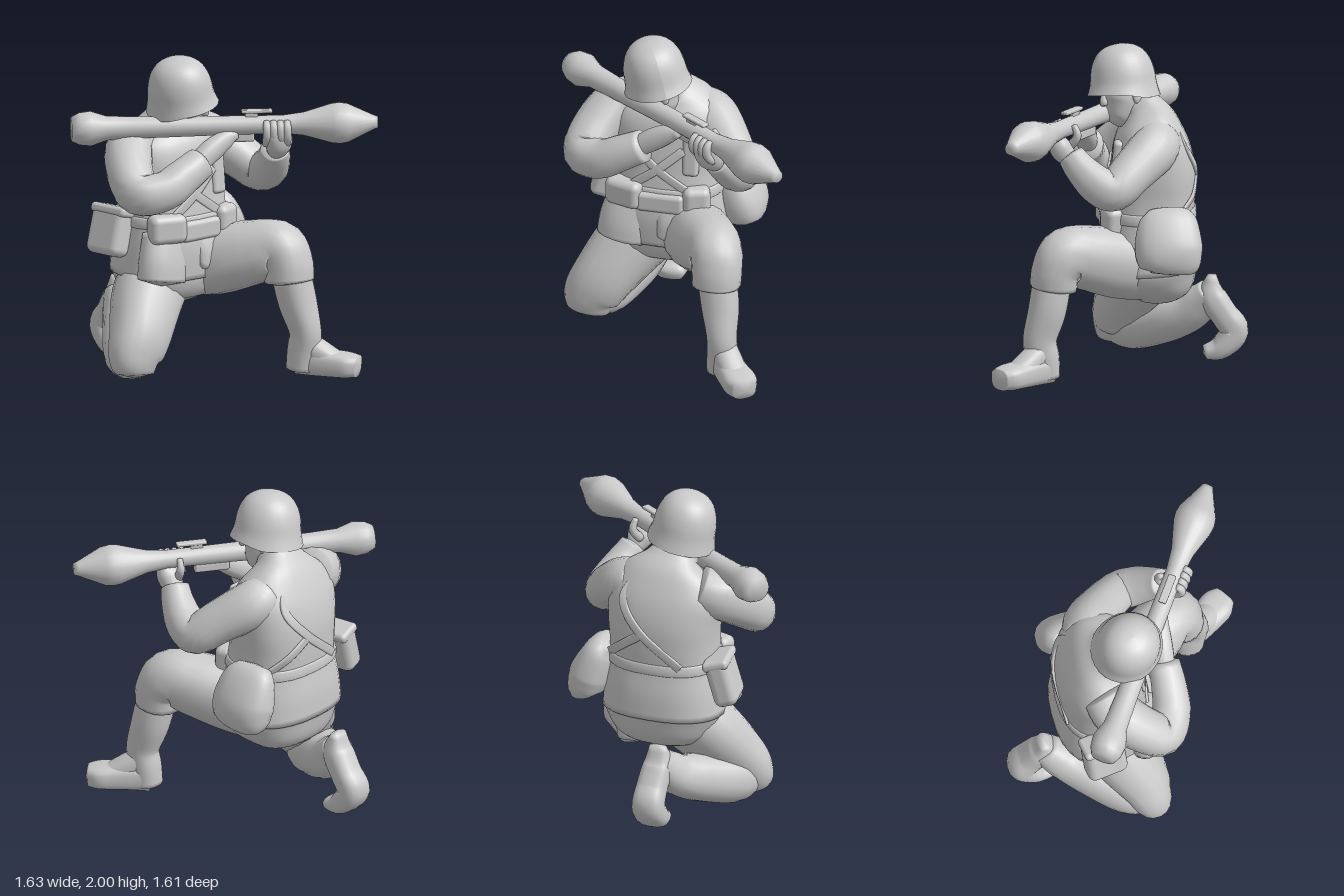
import * as THREE from 'three';
import { RoundedBoxGeometry } from 'three/addons/geometries/RoundedBoxGeometry.js';

const grey = new THREE.MeshStandardMaterial({ color: 0xcacaca, side: THREE.DoubleSide });
grey.name = 'plainGrey';
const V = (x, y, z) => new THREE.Vector3(x, y, z);
const X = V(1, 0, 0), BACK = V(0, 0, -1), FRONT = V(0, 0, 1), UP = V(0, 1, 0);

// point of a rounded-square section
const bend = (c, p) => Math.sign(c) * Math.pow(Math.abs(c), 2 / p);

// smooth closed form through rows of [x, y, z, radius, second radius]
function limb(rows, ref = X, { p = 2.2, sides = 18, steps = 5 } = {}) {
  const path = new THREE.CatmullRomCurve3(rows.map(r => V(r[0], r[1], r[2])), false, 'catmullrom', 0.5);
  const size = new THREE.CatmullRomCurve3(rows.map(r => V(r[3], r[4] ?? r[3], 0)), false, 'catmullrom', 0.5);
  const n = (rows.length - 1) * steps, pos = [], idx = [];
  for (let i = 0; i <= n; i++) {
    const c = path.getPoint(i / n), s = size.getPoint(i / n), t = path.getTangent(i / n);
    const side = ref.clone().cross(t).normalize(), nrm = t.clone().cross(side);
    for (let j = 0; j < sides; j++) {
      const a = j / sides * Math.PI * 2;
      const q = c.clone().addScaledVector(side, s.x * bend(Math.cos(a), p)).addScaledVector(nrm, s.y * bend(Math.sin(a), p));
      pos.push(q.x, q.y, q.z);
      const k = (j + 1) % sides, b = i * sides;
      if (i < n) idx.push(b + j, b + k, b + sides + j, b + k, b + sides + k, b + sides + j);
    }
  }
  // domed ends
  for (const e of [0, 1]) {
    const s = size.getPoint(e), d = Math.min(s.x, s.y) * 0.3 * (e ? 1 : -1);
    const c = path.getPoint(e).addScaledVector(path.getTangent(e), d), id = pos.length / 3, b = e ? n * sides : 0;
    pos.push(c.x, c.y, c.z);
    for (let j = 0; j < sides; j++) {
      const k = (j + 1) % sides;
      idx.push(id, b + (e ? j : k), b + (e ? k : j));
    }
  }
  const g = new THREE.BufferGeometry();
  g.setAttribute('position', new THREE.Float32BufferAttribute(pos, 3));
  g.setIndex(idx);
  g.computeVertexNormals();
  return g;
}

// jacket sections
const JACKET = [
  [-0.1, 0.63, -0.2, 0.385, 0.3], [-0.1, 0.8, -0.19, 0.37, 0.3], [-0.1, 0.97, -0.19, 0.345, 0.275],
  [-0.1, 1.1, -0.2, 0.34, 0.268], [-0.1, 1.25, -0.205, 0.35, 0.26], [-0.11, 1.4, -0.195, 0.355, 0.23],
  [-0.12, 1.52, -0.18, 0.29, 0.18], [-0.13, 1.6, -0.15, 0.17, 0.13], [-0.14, 1.65, -0.11, 0.11, 0.11],
];
// point just outside the jacket at a height and bearing (0 = left, 90 = back, -90 = front)
function onJacket(y, deg, off = 0.008) {
  let i = 0;
  while (i < JACKET.length - 2 && JACKET[i + 1][1] < y) i++;
  const [a, b] = [JACKET[i], JACKET[i + 1]], t = (y - a[1]) / (b[1] - a[1]);
  const [x, , z, rx, rz] = a.map((v, k) => v + (b[k] - v) * t), r = deg * Math.PI / 180;
  return [x + (rx + off) * bend(Math.cos(r), 2.45), y, z - (rz + off) * bend(Math.sin(r), 2.45)];
}

export function createModel() {
  const model = new THREE.Group();
  const add = (name, geo, parent = model) => {
    const m = new THREE.Mesh(geo, grey);
    m.name = name;
    parent.add(m);
    return m;
  };
  const box = (name, w, h, d, pos, rot = [0, 0, 0], r = 0.03) => {
    const m = add(name, new RoundedBoxGeometry(w, h, d, 3, r));
    m.position.set(...pos);
    m.rotation.set(...rot);
    return m;
  };

  // body
  add('jacket', limb(JACKET, BACK, { p: 2.45, sides: 28 }));
  add('seat', limb([[-0.1, 0.43, -0.23, 0.22, 0.13], [-0.1, 0.51, -0.23, 0.32, 0.235], [-0.1, 0.63, -0.205, 0.38, 0.293], [-0.1, 0.75, -0.2, 0.35, 0.27]], BACK, { p: 2.35, sides: 28 }));
  add('belt', limb([[-0.1, 0.94, -0.19, 0.347, 0.277], [-0.1, 0.95, -0.19, 0.358, 0.287], [-0.1, 1.0, -0.19, 0.352, 0.282], [-0.1, 1.01, -0.19, 0.342, 0.272]], BACK, { p: 2.45, sides: 28, steps: 2 }));
  add('collar', limb([[-0.13, 1.54, -0.16, 0.18, 0.15], [-0.14, 1.6, -0.13, 0.14, 0.13], [-0.145, 1.645, -0.11, 0.125, 0.12]], BACK));

  // straps laid on the jacket
  const straps = [
    [BACK, [[1.55, 62], [1.4, 60], [1.22, 82], [1.0, 118]]],
    [BACK, [[1.0, 32], [1.1, 60], [1.2, 84]]],
    [FRONT, [[1.28, -115], [1.14, -92], [1.0, -65]]],
    [FRONT, [[1.28, -72], [1.14, -92], [1.0, -120]]],
  ];
  for (const [ref, pts] of straps)
    add('strap', limb(pts.map(([y, d]) => [...onJacket(y, d), 0.028, 0.01]), ref, { p: 4, sides: 12, steps: 6 }));

  // pouches, pack and canister
  box('rightPouch', 0.24, 0.18, 0.13, [-0.33, 0.95, 0.05], [0, -0.3, 0], 0.045);
  box('leftPouch', 0.17, 0.18, 0.12, [0.12, 0.95, 0.05], [0, 0.3, 0], 0.045);
  box('bellyPouch', 0.3, 0.13, 0.06, [-0.1, 0.92, 0.09], [0, 0, 0], 0.03);
  box('chestPouch', 0.1, 0.34, 0.06, [0.08, 1.28, 0.025], [-0.1, 0, 0], 0.025);
  box('hipCanister', 0.15, 0.31, 0.26, [-0.515, 0.91, -0.27], [0, 0.15, -0.28], 0.05);
  box('canisterLid', 0.165, 0.06, 0.275, [-0.48, 1.03, -0.27], [0, 0.15, -0.28], 0.025);
  add('haversack', limb([[0.23, 1.04, -0.28, 0.05, 0.12], [0.28, 0.98, -0.285, 0.1, 0.18], [0.34, 0.83, -0.285, 0.13, 0.21], [0.365, 0.73, -0.3, 0.115, 0.185], [0.365, 0.69, -0.3, 0.07, 0.13]], BACK, { p: 2.4 }));
  // jacket tails over the thighs
  add('rightTail', limb([[-0.28, 0.88, -0.02, 0.17, 0.1], [-0.33, 0.73, 0.01, 0.17, 0.11], [-0.35, 0.62, 0.02, 0.165, 0.11]], BACK));
  add('leftTail', limb([[0.0, 0.87, 0.03, 0.15, 0.07], [-0.04, 0.77, 0.08, 0.1, 0.05], [-0.09, 0.68, 0.1, 0.03, 0.03]], BACK));

  // standing leg
  add('leftTrouser', limb([[0, 0.63, -0.25, 0.2, 0.19], [0.1, 0.68, 0, 0.215, 0.2], [0.22, 0.745, 0.2, 0.2, 0.19], [0.31, 0.78, 0.34, 0.175, 0.165], [0.335, 0.7, 0.405, 0.15, 0.155], [0.335, 0.59, 0.42, 0.145, 0.15]]));
  add('leftBootShaft', limb([[0.345, 0.62, 0.43, 0.12], [0.37, 0.45, 0.46, 0.118, 0.115], [0.39, 0.28, 0.505, 0.105, 0.092], [0.39, 0.16, 0.49, 0.105, 0.095], [0.385, 0.04, 0.48, 0.1, 0.095]]));
  add('leftInstep', limb([[0.4, 0.2, 0.5, 0.08], [0.46, 0.14, 0.58, 0.085, 0.08], [0.53, 0.09, 0.67, 0.08, 0.06]], UP));
  add('leftBoot', limb([[0.38, 0.085, 0.445, 0.08, 0.08], [0.43, 0.09, 0.53, 0.09, 0.085], [0.5, 0.085, 0.63, 0.1, 0.08], [0.56, 0.08, 0.71, 0.105, 0.074], [0.6, 0.075, 0.765, 0.075, 0.065]], UP, { p: 2.9, sides: 24 }));

  // kneeling leg
  add('rightThigh', limb([[-0.2, 0.62, -0.2, 0.2, 0.22], [-0.34, 0.48, -0.13, 0.2, 0.22], [-0.475, 0.3, -0.03, 0.17, 0.195], [-0.55, 0.17, 0.01, 0.135, 0.175], [-0.56, 0.07, 0.02, 0.1, 0.13]]));
  add('rightShin', limb([[-0.55, 0.14, 0.03, 0.1, 0.13], [-0.49, 0.155, -0.1, 0.15, 0.165], [-0.36, 0.225, -0.3, 0.15, 0.15], [-0.285, 0.28, -0.43, 0.13, 0.125], [-0.24, 0.35, -0.51, 0.115, 0.105], [-0.205, 0.42, -0.57, 0.09, 0.09]]));
  add('rightBoot', limb([[-0.2, 0.525, -0.575, 0.03, 0.055], [-0.2, 0.4, -0.575, 0.085, 0.09], [-0.19, 0.28, -0.65, 0.085, 0.095], [-0.19, 0.18, -0.71, 0.09, 0.1], [-0.19, 0.075, -0.63, 0.07, 0.1], [-0.19, 0.045, -0.53, 0.04, 0.08]], X, { p: 2.6 }));

  // arms and hands
  add('rightSleeve', limb([[-0.33, 1.46, -0.22, 0.14], [-0.45, 1.41, -0.17, 0.15], [-0.55, 1.3, -0.03, 0.14], [-0.575, 1.215, 0.09, 0.13], [-0.45, 1.23, 0.17, 0.12], [-0.32, 1.3, 0.19, 0.11], [-0.18, 1.37, 0.19, 0.1]], UP));
  add('rightHand', limb([[-0.2, 1.37, 0.19, 0.065], [-0.1, 1.44, 0.2, 0.065, 0.07], [0, 1.5, 0.22, 0.05, 0.055], [0.06, 1.525, 0.25, 0.025]], UP));
  add('leftSleeve', limb([[0.06, 1.46, -0.24, 0.13], [0.17, 1.41, -0.2, 0.15], [0.31, 1.3, -0.06, 0.135], [0.395, 1.21, 0.05, 0.125], [0.39, 1.245, 0.15, 0.12], [0.35, 1.335, 0.25, 0.1], [0.31, 1.41, 0.31, 0.085]], X));
  add('leftPalm', limb([[0.31, 1.39, 0.32, 0.055], [0.29, 1.45, 0.37, 0.07, 0.085], [0.27, 1.52, 0.4, 0.05, 0.085], [0.27, 1.58, 0.39, 0.03, 0.07]], X));
  const axis = V(1.57, 0, 1.05).normalize(), out = V(-axis.z, 0, axis.x);
  const gripRow = (along, y, off, r) => [0.28 + axis.x * along + out.x * off, y, 0.36 + axis.z * along + out.z * off, r];
  for (let i = 0; i < 4; i++) {
    const s = -0.065 + i * 0.042;
    add('finger', limb([gripRow(s, 1.46, 0.03, 0.026), gripRow(s, 1.51, 0.075, 0.026), gripRow(s, 1.57, 0.08, 0.025), gripRow(s, 1.605, 0.05, 0.02)], axis, { sides: 10 }));
  }
  add('thumb', limb([gripRow(-0.03, 1.46, -0.03, 0.03), gripRow(-0.03, 1.53, -0.085, 0.025), gripRow(-0.03, 1.6, -0.065, 0.018)], axis, { sides: 10 }));

  // shoulder launcher: radius against length
  const profile = [[0, 0], [0.075, 0], [0.1, 0.05], [0.108, 0.12], [0.075, 0.22], [0.068, 0.4], [0.06, 0.9], [0.056, 1.3], [0.072, 1.43], [0.122, 1.6], [0.128, 1.65], [0.12, 1.7], [0.045, 1.86], [0.036, 1.885], [0, 1.885]];
  const tube = add('launcherTube', new THREE.LatheGeometry(profile.map(q => new THREE.Vector2(...q)), 20));
  tube.position.set(-0.77, 1.575, -0.34);
  tube.quaternion.setFromUnitVectors(UP, axis);
  const yaw = -Math.atan2(axis.z, axis.x);
  box('sight', 0.19, 0.022, 0.05, [0.175, 1.663, 0.3], [0, yaw, 0], 0.008);
  box('sightPost', 0.08, 0.06, 0.03, [0.15, 1.63, 0.28], [0, yaw, 0], 0.008);
  box('triggerHousing', 0.22, 0.06, 0.05, [0.08, 1.5, 0.22], [0, yaw, 0], 0.015);

  // head turned along the launcher
  const head = new THREE.Group();
  head.name = 'head';
  head.position.set(-0.15, 1.72, -0.035);
  head.rotation.set(0, 0.5, 0.2);
  model.add(head);
  add('face', limb([[0, -0.21, 0.07, 0.05, 0.05], [0, -0.17, 0.05, 0.09, 0.09], [0, -0.08, 0.01, 0.125, 0.14], [0, 0.03, 0, 0.13, 0.145]], BACK), head);
  add('nose', limb([[0, 0, 0.14, 0.015], [0, -0.06, 0.155, 0.024], [0, -0.085, 0.15, 0.02]], BACK, { sides: 8 }), head);
  for (const s of [-1, 1]) add('ear', new THREE.SphereGeometry(0.035, 10, 8).scale(0.5, 1.3, 0.9).translate(s * 0.13, -0.05, -0.01), head);
  add('neck', limb([[-0.13, 1.5, -0.13, 0.1], [-0.14, 1.6, -0.09, 0.09], [-0.145, 1.7, -0.06, 0.09]], BACK));

  // helmet with lowered sides and a front brim
  const shell = [[0.212, -0.03], [0.197, 0.03], [0.19, 0.1], [0.172, 0.17], [0.135, 0.23], [0.075, 0.268], [0.0, 0.28]];
  const dome = new THREE.LatheGeometry(new THREE.SplineCurve(shell.map(q => new THREE.Vector2(...q))).getPoints(18), 28);
  const at = dome.attributes.position;
  for (let i = 0; i < at.count; i++) {
    const x = at.getX(i), y = at.getY(i), z = at.getZ(i), low = THREE.MathUtils.clamp((0.08 - y) / 0.11, 0, 1);
    const f = z / 0.21;
    at.setXYZ(i, x, y + low * (f > 0.4 ? 0.02 * (f - 0.4) : -0.03 * Math.min(1, (0.4 - f) * 2)), z * 1.05 + low * Math.max(0, f) * 0.012);
  }
  dome.computeVertexNormals();
  add('helmet', dome, head);
  return model;
}
